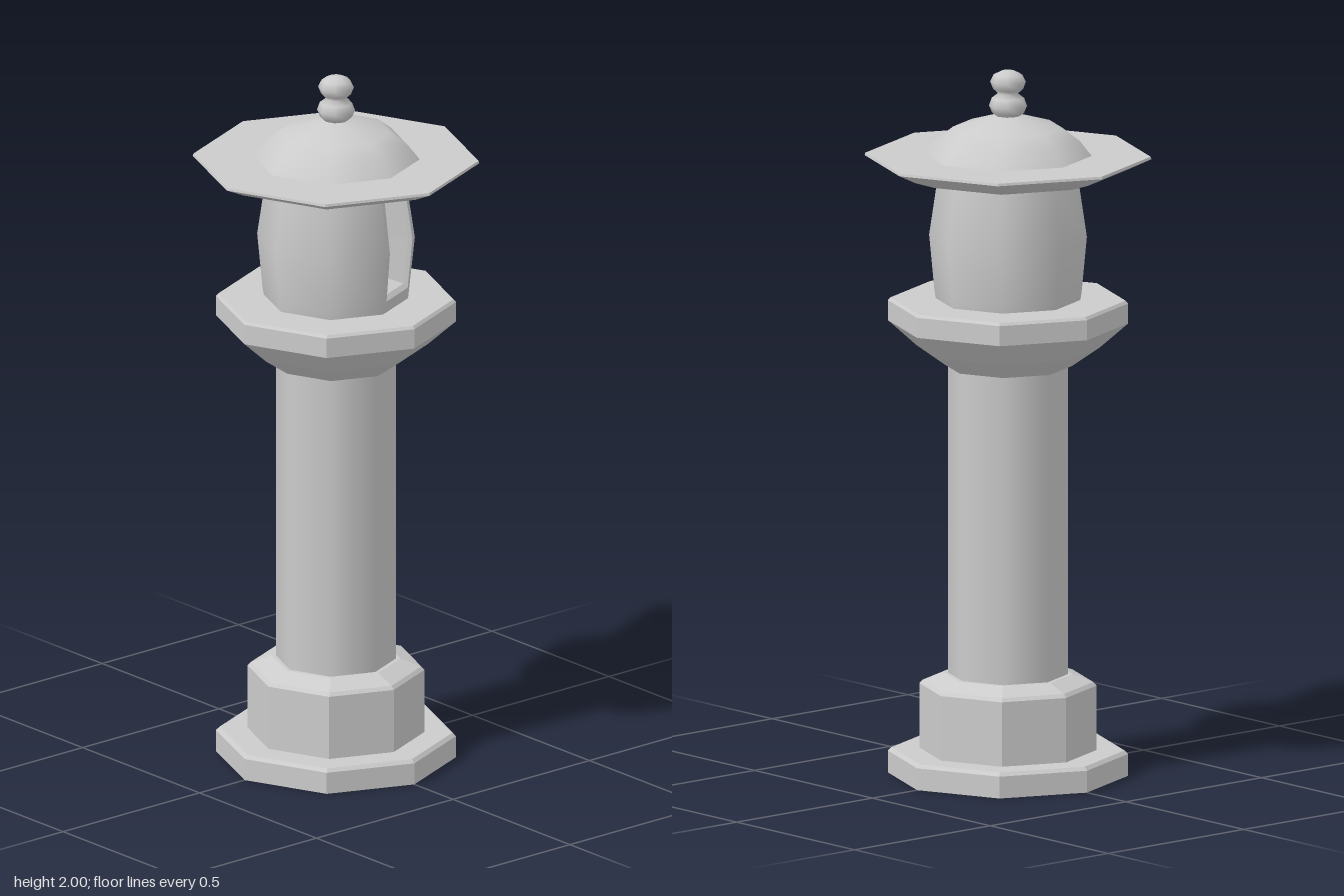
import * as THREE from 'three';

const SIDES = 8;
const stone = new THREE.MeshStandardMaterial({ color: 0xcccccc });
const facetedStone = new THREE.MeshStandardMaterial({ color: 0xcccccc, flatShading: true });

// Octagonal turned part; profile is [radius, y] from bottom to top
function turned(name, profile, material, start = 0, sides = SIDES) {
  const points = profile.map(([r, y]) => new THREE.Vector2(r, y));
  const step = (Math.PI * 2) / SIDES;
  const geometry = new THREE.LatheGeometry(points, sides, start, sides * step);
  const mesh = new THREE.Mesh(geometry, material);
  mesh.name = name;
  return mesh;
}

// Bulging wall of the lamp chamber
const chamberProfile = [[0.2, 1.34], [0.205, 1.37], [0.22, 1.53], [0.195, 1.7]];

function chamberRadius(y) {
  for (let i = 1; i < chamberProfile.length; i++) {
    const [r0, y0] = chamberProfile[i - 1];
    const [r1, y1] = chamberProfile[i];
    if (y <= y1) return THREE.MathUtils.mapLinear(y, y0, y1, r0, r1);
  }
  return chamberProfile.at(-1)[0];
}

// Point on the window facet: t runs across it, depth goes into the wall
function facetPoint(t, y, depth) {
  const r = chamberRadius(y);
  const c = Math.SQRT1_2;
  return new THREE.Vector3(r, y, 0)
    .lerp(new THREE.Vector3(r * c, y, -r * c), t)
    .addScaledVector(new THREE.Vector3(Math.cos(Math.PI / 8), 0, -Math.sin(Math.PI / 8)), -depth);
}

// Six-cornered outline, bent at the middle of the wall
function outline(inset, bottom, top, depth) {
  const a = inset, b = 1 - inset, mid = 1.53;
  return [[a, bottom], [b, bottom], [b, mid], [b, top], [a, top], [a, mid]]
    .map(([t, y]) => facetPoint(t, y, depth));
}

// One facet with a tapered window recess, made of nested outlines
function windowFacet() {
  const loops = [
    outline(0, 1.34, 1.7, 0),
    outline(0.09, 1.385, 1.68, 0),
    outline(0.11, 1.397, 1.668, 0.012),
    outline(0.17, 1.41, 1.655, 0.08),
  ];
  const corners = [];
  const quad = (a, b, c, d) => corners.push(a, b, c, a, c, d);
  for (let k = 0; k < loops.length - 1; k++) {
    for (let i = 0; i < 6; i++) {
      const j = (i + 1) % 6;
      quad(loops[k][i], loops[k][j], loops[k + 1][j], loops[k + 1][i]);
    }
  }
  const back = loops.at(-1);
  quad(back[0], back[1], back[2], back[5]);
  quad(back[5], back[2], back[3], back[4]);
  const geometry = new THREE.BufferGeometry().setFromPoints(corners);
  geometry.computeVertexNormals();
  const mesh = new THREE.Mesh(geometry, facetedStone);
  mesh.name = 'windowRecess';
  return mesh;
}

export function createModel() {
  const lantern = new THREE.Group();
  lantern.name = 'stoneLantern';

  // Stepped foot
  lantern.add(turned('plinth',
    [[0, 0], [0.335, 0], [0.335, 0.062], [0.325, 0.072], [0.2, 0.072]], facetedStone));
  lantern.add(turned('footBlock',
    [[0.247, 0.07], [0.247, 0.255], [0.238, 0.265], [0.18, 0.287], [0.1, 0.287]], facetedStone));

  // Shaft
  lantern.add(turned('column', [[0.168, 0.28], [0.168, 1.18]], stone));

  // Flared platform under the chamber
  lantern.add(turned('platform',
    [[0.1, 1.162], [0.178, 1.162], [0.255, 1.215], [0.335, 1.285], [0.335, 1.342],
      [0.328, 1.35], [0, 1.35]], facetedStone));

  // Lamp chamber: seven plain facets and one with the window
  const chamber = new THREE.Group();
  chamber.name = 'lampChamber';
  chamber.add(turned('chamberWall', chamberProfile, stone, Math.PI * 0.75, SIDES - 1));
  chamber.add(windowFacet());
  lantern.add(chamber);

  // Roof: curved underside, flat brim and dome
  const roof = new THREE.Group();
  roof.name = 'roof';
  roof.add(turned('roofUnderside',
    [[0, 1.69], [0.2, 1.692], [0.27, 1.702], [0.34, 1.725], [0.4, 1.753]], stone));
  roof.add(turned('roofBrim', [[0.4, 1.753], [0.398, 1.76], [0.2, 1.76]], facetedStone));
  roof.add(turned('roofDome',
    [[0.236, 1.757], [0.2, 1.802], [0.153, 1.838], [0.04, 1.872], [0, 1.875]], stone));
  lantern.add(roof);

  // Double-bulb finial
  lantern.add(turned('finial',
    [[0.028, 1.865], [0.045, 1.88], [0.053, 1.9], [0.045, 1.922], [0.028, 1.935],
      [0.042, 1.947], [0.05, 1.968], [0.04, 1.988], [0.02, 1.998], [0, 2]], stone));

  return lantern;
}
